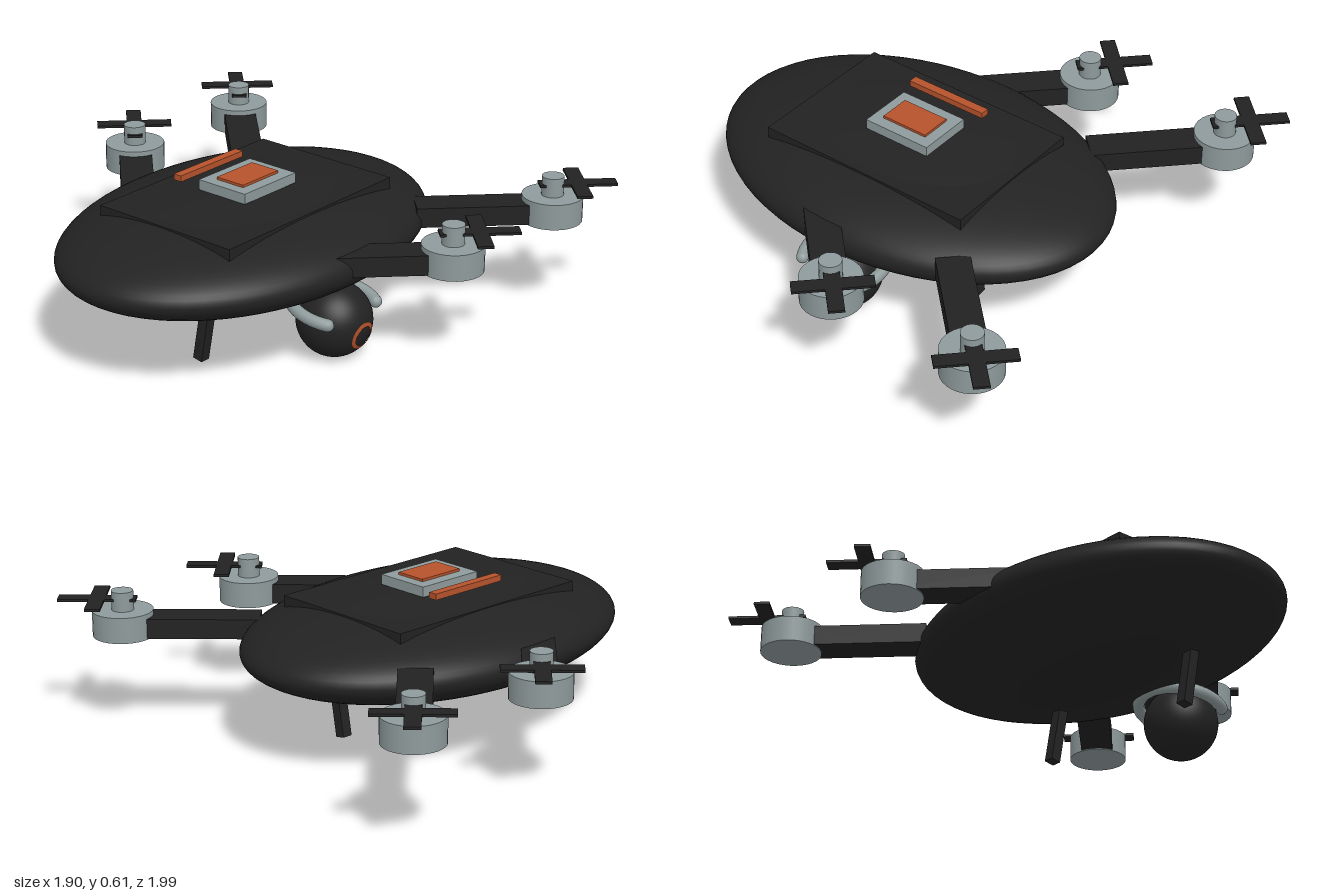
import * as THREE from 'three';

export function createModel() {
  const model = new THREE.Group();
  model.name = 'drone';

  const mat = (name, color) => {
    const m = new THREE.MeshStandardMaterial({ color });
    m.name = name;
    return m;
  };
  const black = mat('matte black', 0x222222);
  const grey = mat('cool grey', 0x8e9a9b);
  const orange = mat('burnt orange', 0xb5522b);

  const add = (name, geo, material, x, y, z, parent = model) => {
    const mesh = new THREE.Mesh(geo, material);
    mesh.name = name;
    mesh.position.set(x, y, z);
    parent.add(mesh);
    return mesh;
  };
  const box = (w, h, d) => new THREE.BoxGeometry(w, h, d);
  const cx = -0.12; // centre line of body and camera

  // Flattened shell and the hatch sunk into its top
  const shell = new THREE.SphereGeometry(1, 64, 40).scale(0.835, 0.18, 0.585);
  add('body', shell, black, cx, 0.385, 0);
  add('hatch', box(0.925, 0.06, 0.64), black, cx, 0.511, 0.012);

  // Raised sensor plate, orange pad and rear light bar
  add('sensorPlate', box(0.29, 0.04, 0.228), grey, cx, 0.582, 0.013);
  add('sensorPad', box(0.2, 0.02, 0.13), orange, cx, 0.602, 0.014);
  add('lightBar', box(0.35, 0.024, 0.036), orange, -0.115, 0.594, -0.187);

  // Four rotor units: diagonal arm, motor, hub and crossed blades
  for (const side of [1, -1]) {
    for (const x of [0.12, 0.754]) {
      const unit = new THREE.Group();
      unit.name = (side > 0 ? 'front' : 'rear') + (x > 0.5 ? 'Outer' : 'Inner') + 'Rotor';
      unit.position.set(x, 0, side * 0.8);
      model.add(unit);

      const arm = add('arm', box(0.53, 0.078, 0.13), black, -0.187, 0.411, -side * 0.187, unit);
      arm.rotation.y = -side * Math.PI / 4;
      add('motor', new THREE.CylinderGeometry(0.118, 0.118, 0.102, 32), grey, 0, 0.419, 0, unit);
      add('hub', new THREE.CylinderGeometry(0.043, 0.043, 0.08, 24), grey, 0, 0.506, 0, unit);
      for (const turn of [1, -1]) {
        const blade = add('blade', box(0.3, 0.01, 0.06), black, 0.068, 0.512, side * 0.068, unit);
        blade.rotation.y = turn * Math.PI / 4;
      }
    }
  }

  // Two landing legs, raked so that the feet sit further back
  for (const x of [-0.486, 0.25]) {
    const leg = add('landingLeg', box(0.042, 0.3, 0.042), black, x, 0.155, 0.128);
    leg.rotation.x = 0.175;
  }

  // Ball camera with a lens ring lying on its surface
  const camera = new THREE.Group();
  camera.name = 'camera';
  camera.position.set(cx, 0.145, 0.441);
  model.add(camera);
  add('cameraBall', new THREE.SphereGeometry(0.145, 40, 28), black, 0, 0, 0, camera);
  const band = new THREE.SphereGeometry(0.148, 40, 4, 0, Math.PI * 2, 0.28, 0.115);
  band.rotateX(Math.PI / 2 + 0.23);
  add('lensRing', band, orange, 0, 0, 0, camera);

  // Open yoke curling around the back of the ball, with rounded tips
  const yoke = new THREE.Group();
  yoke.name = 'cameraYoke';
  yoke.position.set(cx, 0.205, 0.441);
  yoke.rotation.x = 0.19;
  model.add(yoke);
  const tip = 0.54, R = 0.165, tube = 0.024;
  const arc = new THREE.TorusGeometry(R, tube, 12, 40, Math.PI + 2 * tip);
  arc.rotateZ(Math.PI - tip).rotateX(Math.PI / 2);
  add('yokeArc', arc, grey, 0, 0, 0, yoke);
  for (const s of [1, -1]) {
    add('yokeTip', new THREE.SphereGeometry(tube, 12, 10), grey,
      s * R * Math.cos(tip), 0, R * Math.sin(tip), yoke);
  }

  return model;
}
